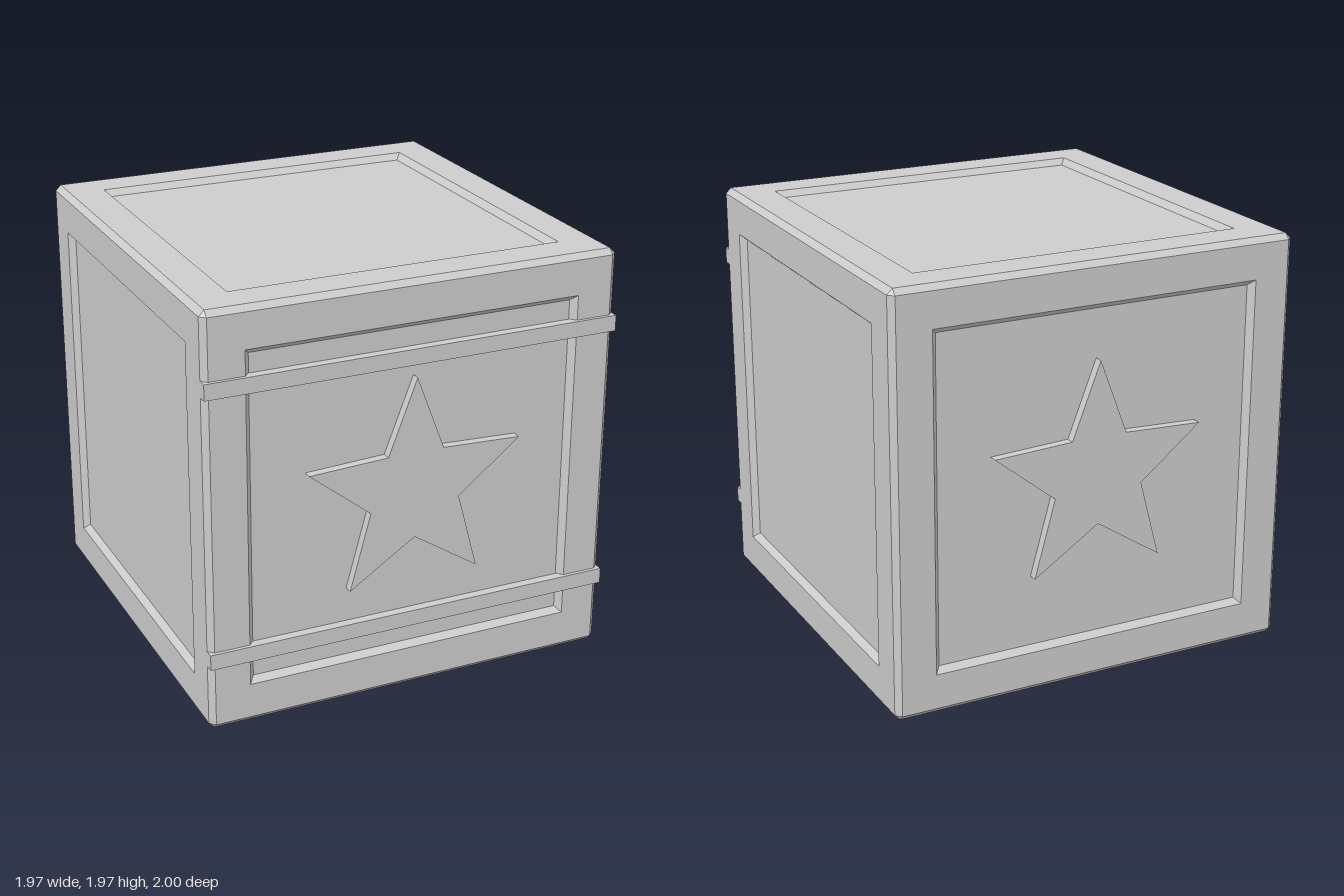
import * as THREE from 'three';

const H = 0.983;       // half size of the crate
const C = 0.026;       // edge chamfer
const OUTER = 0.792;   // recess opening, half size
const INNER = 0.766;   // recess floor, half size
const FLOOR = 0.953;   // distance of the recess floor from the centre

const SIGNS = [-1, 1];

// Flat-faced mesh builder: each polygon is turned to face the "out" direction
function faceBuilder() {
  const positions = [];
  return {
    add(points, out) {
      const normal = points[1].clone().sub(points[0]).cross(points[2].clone().sub(points[0]));
      const p = normal.dot(out) < 0 ? [...points].reverse() : points;
      for (let i = 1; i < p.length - 1; i++) {
        for (const v of [p[0], p[i], p[i + 1]]) positions.push(v.x, v.y, v.z);
      }
    },
    build() {
      const g = new THREE.BufferGeometry();
      g.setAttribute('position', new THREE.Float32BufferAttribute(positions, 3));
      g.computeVertexNormals();
      return g;
    },
  };
}

// Point with coordinate d on the given axis and u, v on the next two axes
function onAxis(axis, d, u, v) {
  const p = new THREE.Vector3();
  p.setComponent(axis, d);
  p.setComponent((axis + 1) % 3, u);
  p.setComponent((axis + 2) % 3, v);
  return p;
}

function square(axis, d, h) {
  return [[-1, -1], [1, -1], [1, 1], [-1, 1]].map(([u, v]) => onAxis(axis, d, u * h, v * h));
}

function starShape() {
  // Right half of the star, from top tip to bottom notch, mirrored for the left
  const half = [[0, 0.54], [0.135, 0.187], [0.512, 0.17], [0.217, -0.066], [0.315, -0.43], [0, -0.223]];
  const left = half.slice(1, -1).reverse().map(([x, y]) => [-x, y]);
  return new THREE.Shape([...half, ...left].map(([x, y]) => new THREE.Vector2(x, y)));
}

export function createModel() {
  const group = new THREE.Group();
  const grey = new THREE.MeshStandardMaterial({ color: 0xcccccc });
  grey.name = 'plain grey';

  const addMesh = (name, geometry) => {
    const mesh = new THREE.Mesh(geometry, grey);
    mesh.name = name;
    group.add(mesh);
    return mesh;
  };

  const frame = faceBuilder();
  const panels = faceBuilder();
  const R = H - C;

  for (let axis = 0; axis < 3; axis++) {
    for (const s of SIGNS) {
      const out = onAxis(axis, s, 0, 0);
      // Flat border, sloped recess walls and recessed panel of one side
      const rings = [square(axis, s * H, R), square(axis, s * H, OUTER), square(axis, s * FLOOR, INNER)];
      for (let r = 0; r < 2; r++) {
        for (let i = 0; i < 4; i++) {
          const j = (i + 1) % 4;
          frame.add([rings[r][i], rings[r][j], rings[r + 1][j], rings[r + 1][i]], out);
        }
      }
      panels.add(rings[2], out);

      // Chamfers along the edges parallel to this axis
      for (const t of SIGNS) {
        frame.add([
          onAxis(axis, -R, s * H, t * R), onAxis(axis, R, s * H, t * R),
          onAxis(axis, R, s * R, t * H), onAxis(axis, -R, s * R, t * H),
        ], onAxis(axis, 0, s, t));
      }
    }
  }

  // Cut corners
  for (const x of SIGNS) for (const y of SIGNS) for (const z of SIGNS) {
    frame.add([
      new THREE.Vector3(x * H, y * R, z * R),
      new THREE.Vector3(x * R, y * H, z * R),
      new THREE.Vector3(x * R, y * R, z * H),
    ], new THREE.Vector3(x, y, z));
  }

  addMesh('crateFrame', frame.build()).position.y = H;
  addMesh('recessedPanels', panels.build()).position.y = H;

  // Raised stars on front and back
  const starGeometry = new THREE.ExtrudeGeometry(starShape(), { depth: 0.995 - FLOOR, bevelEnabled: false });
  starGeometry.translate(0, 0, FLOOR);
  for (const [name, turn] of [['frontStar', 0], ['backStar', Math.PI]]) {
    const star = addMesh(name, starGeometry);
    star.position.y = H;
    star.rotation.y = turn;
  }

  // Two straps across the front
  const strapGeometry = new THREE.BoxGeometry(2 * H, 0.074, 0.044);
  for (const [name, y] of [['upperStrap', 1.622], ['lowerStrap', 0.353]]) {
    addMesh(name, strapGeometry).position.set(0, y, 0.978);
  }

  return group;
}
